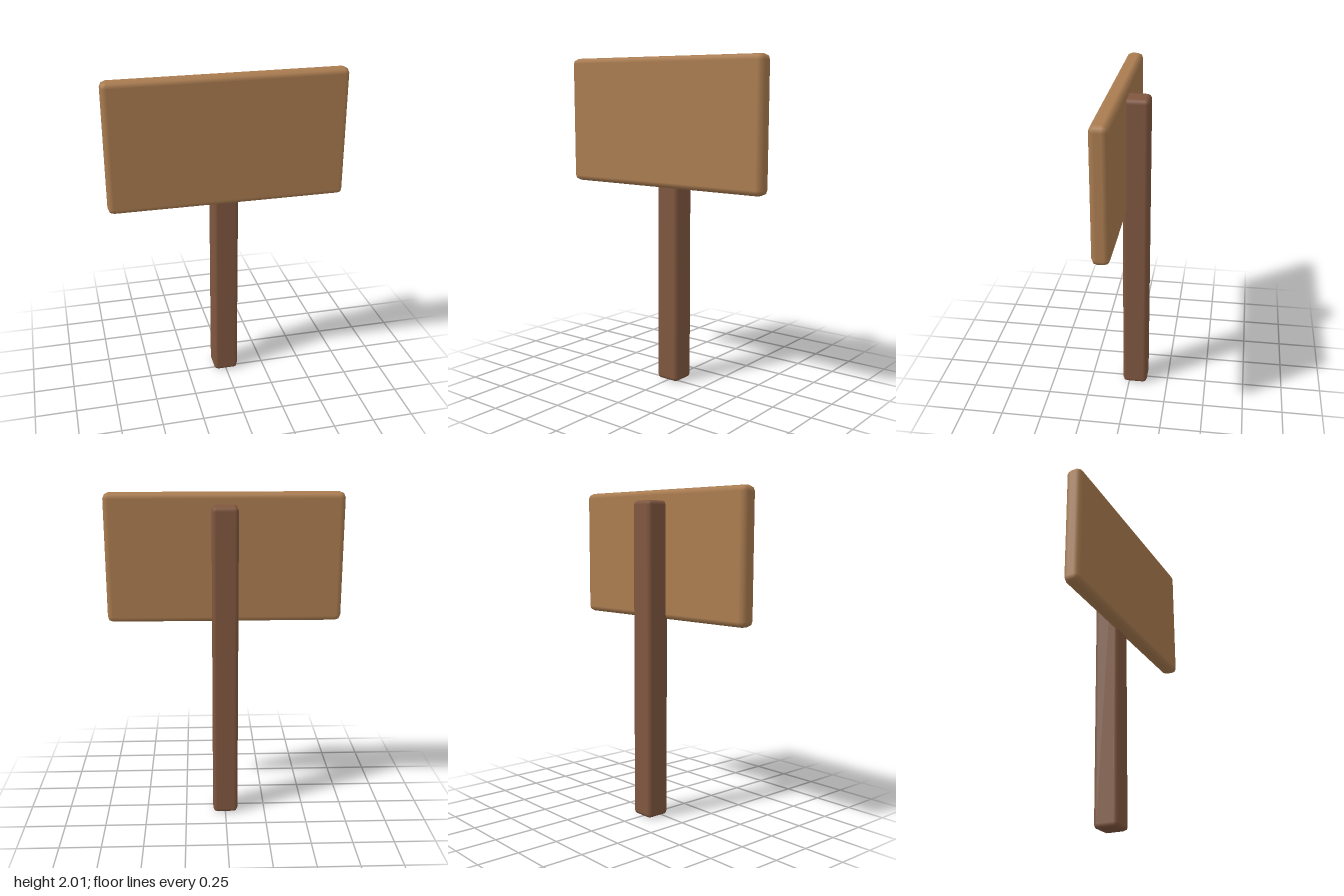
import * as THREE from 'three';
import { RoundedBoxGeometry } from 'three/addons/geometries/RoundedBoxGeometry.js';

const boardWood = new THREE.MeshStandardMaterial({ name: 'light brown wood', color: 0xaa7c50 });
const postWood = new THREE.MeshStandardMaterial({ name: 'dark brown wood', color: 0x80573f });

// Soft-edged beam filling the given bounds; one rounding segment falls
// short of the nominal size by a fixed share of the radius.
function beam(name, material, [x0, x1], [y0, y1], [z0, z1], radius) {
  const pad = 2 * radius * (1 - 3 / Math.sqrt(11));
  const geometry = new RoundedBoxGeometry(x1 - x0 + pad, y1 - y0 + pad, z1 - z0 + pad, 1, radius);
  const mesh = new THREE.Mesh(geometry, material);
  mesh.name = name;
  mesh.position.set((x0 + x1) / 2, (y0 + y1) / 2, (z0 + z1) / 2);
  return mesh;
}

export function createModel() {
  const sign = new THREE.Group();
  sign.name = 'signpost';

  // Upright post, standing behind the board and slightly let into it
  sign.add(beam('post', postWood, [-0.075, 0.075], [0, 1.935], [-0.113, 0.038], 0.025));

  // Blank board across the top
  sign.add(beam('board', boardWood, [-0.706, 0.706], [1.232, 2], [0.017, 0.113], 0.033));

  return sign;
}
